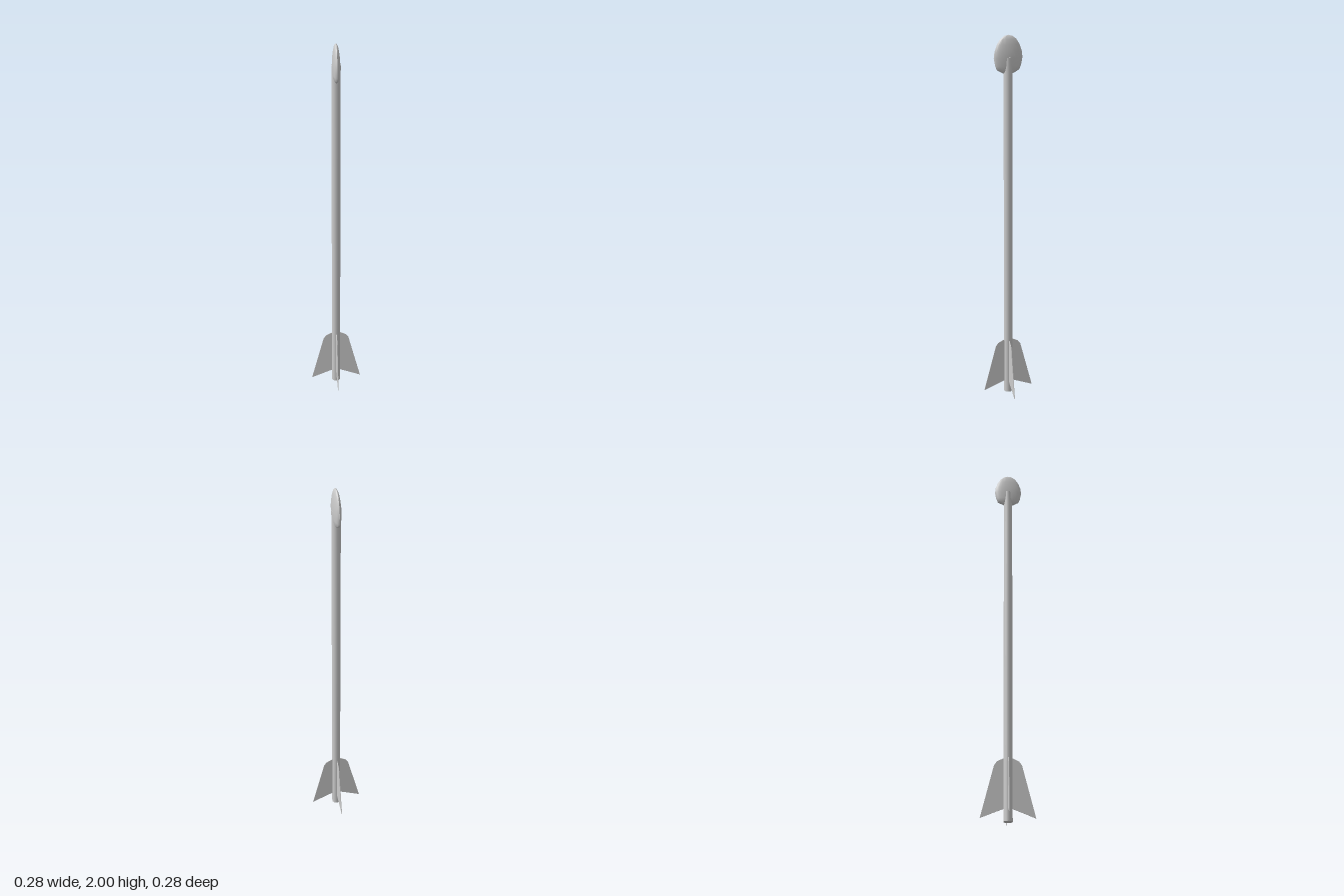
import * as THREE from 'three';
import { toCreasedNormals } from 'three/addons/utils/BufferGeometryUtils.js';

export function createModel() {
  const arrow = new THREE.Group();
  arrow.name = 'arrow';
  const material = new THREE.MeshStandardMaterial({ color: 0xcccccc });

  const addPart = (name, geometry) => {
    const mesh = new THREE.Mesh(geometry, material);
    mesh.name = name;
    arrow.add(mesh);
    return mesh;
  };

  // Round shaft, running up into the head
  const shaftLength = 1.89;
  const shaft = addPart('shaft', new THREE.CylinderGeometry(0.023, 0.023, shaftLength, 16));
  shaft.position.y = shaftLength / 2;

  // Egg-shaped head, flattened sideways into a blade
  const profile = [
    [0, 1.808], [0.03, 1.81], [0.058, 1.826], [0.067, 1.848], [0.074, 1.887],
    [0.07, 1.92], [0.058, 1.953], [0.041, 1.98], [0.02, 1.995], [0, 2],
  ].map(([r, y]) => new THREE.Vector2(r, y));
  const headGeometry = new THREE.LatheGeometry(profile, 24);
  headGeometry.scale(0.27, 1, 1);
  addPart('arrowhead', toCreasedNormals(headGeometry, 0.7));

  // Four thin swept fins around the tail
  const thickness = 0.003;
  const outline = new THREE.Shape([
    [0, 0.073], [0.138, 0.018], [0.07, 0.285], [0.056, 0.305], [0.022, 0.322], [0, 0.325],
  ].map(([x, y]) => new THREE.Vector2(x, y)));
  const finGeometry = new THREE.ExtrudeGeometry(outline, { depth: thickness, bevelEnabled: false });
  finGeometry.translate(0, 0, -thickness / 2);
  ['leftFin', 'backFin', 'rightFin', 'frontFin'].forEach((name, i) => {
    addPart(name, finGeometry).rotation.y = i * Math.PI / 2;
  });

  return arrow;
}
